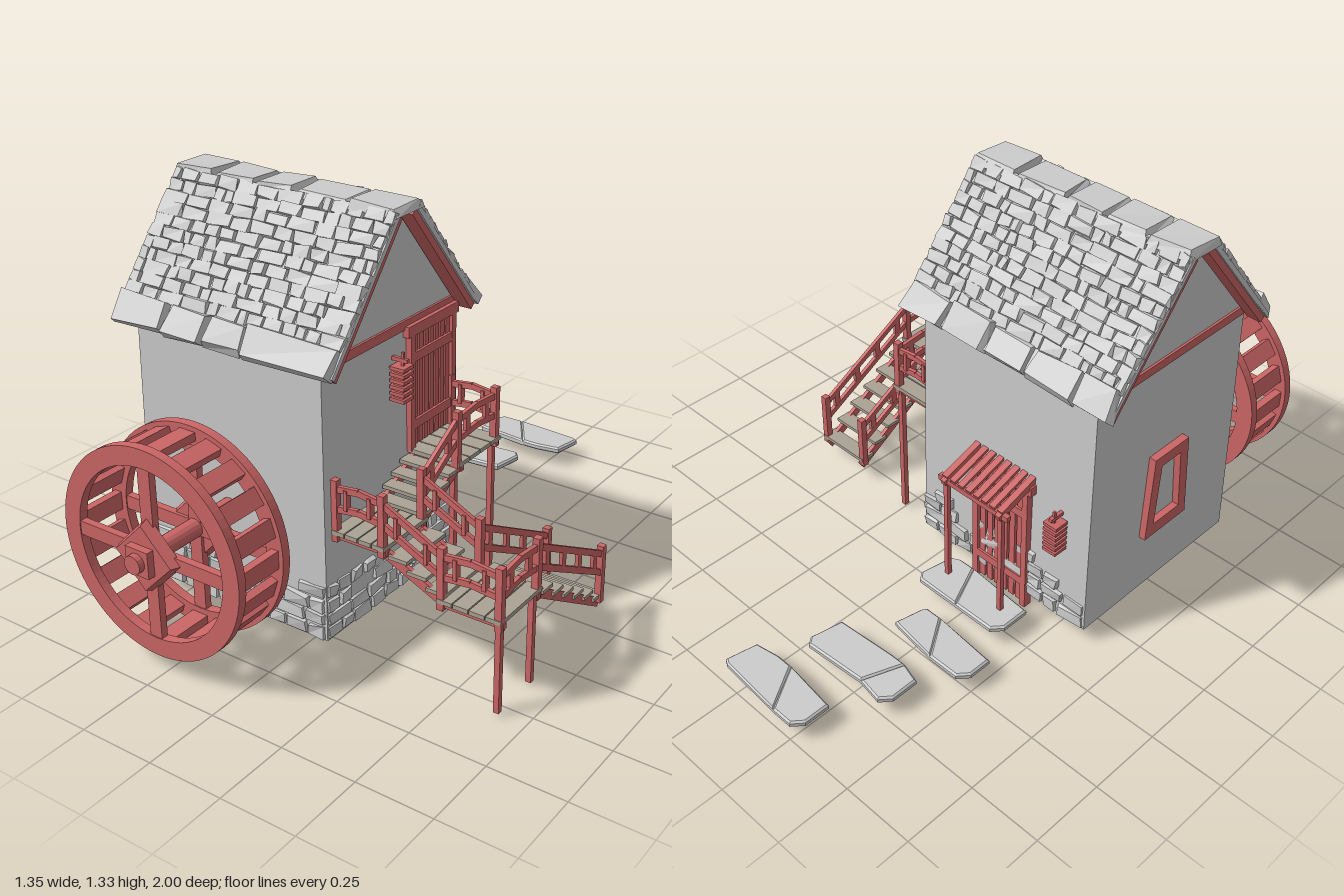
import * as THREE from 'three';

const mat = (color) => new THREE.MeshStandardMaterial({ color, flatShading: true });
const GREY = mat(0xcccccc), RED = mat(0xcc6666), TAN = mat(0xaaa294);

let seed = 7;
const rnd = () => (seed = (seed * 16807) % 2147483647) / 2147483647;
const V = (x, y, z) => new THREE.Vector3(x, y, z);

function add(parent, name, geo, m, x = 0, y = 0, z = 0) {
  const mesh = new THREE.Mesh(geo, m);
  mesh.name = name;
  mesh.position.set(x, y, z);
  parent.add(mesh);
  return mesh;
}
const box = (p, name, m, w, h, d, x, y, z) => add(p, name, new THREE.BoxGeometry(w, h, d), m, x, y, z);

function group(parent, name, x = 0, y = 0, z = 0) {
  const g = new THREE.Group();
  g.name = name;
  g.position.set(x, y, z);
  parent.add(g);
  return g;
}

// straight bar between two points
function beam(p, name, m, a, b, w, h) {
  const mesh = new THREE.Mesh(new THREE.BoxGeometry(w, h, a.distanceTo(b)), m);
  mesh.name = name;
  mesh.position.copy(a).lerp(b, 0.5);
  mesh.lookAt(b);
  p.add(mesh);
}

// rough block: top face shrunk, corners jittered
function stone(w, h, d, jitter, bevel) {
  const g = new THREE.BoxGeometry(w, h, d), pos = g.attributes.position;
  const off = Array.from({ length: 8 }, () => [rnd() - 0.5, rnd() - 0.5, rnd() - 0.5]);
  for (let i = 0; i < pos.count; i++) {
    const x = pos.getX(i), y = pos.getY(i), z = pos.getZ(i);
    const o = off[(x > 0) + 2 * (y > 0) + 4 * (z > 0)], b = y > 0 ? bevel : 0;
    pos.setXYZ(i, x - Math.sign(x) * b + o[0] * jitter, y + (y > 0 ? o[1] * h * 0.5 : 0), z - Math.sign(z) * b + o[2] * jitter);
  }
  return g;
}

// cuts a row from x0 to x1 into random widths
function row(x0, x1, min, max, fn) {
  for (let x = x0; x < x1 - 0.005;) {
    let w = min + rnd() * (max - min);
    if (x1 - x - w < min) w = x1 - x;
    fn(x + w / 2, w);
    x += w;
  }
}

function walls(root) {
  const g = group(root, 'house', -0.257, 0, 0.24);
  const geo = new THREE.BoxGeometry(0.704, 0.87, 0.7), p = geo.attributes.position;
  for (let i = 0; i < p.count; i++) if (p.getY(i) > 0) p.setXYZ(i, p.getX(i) * 0.98, p.getY(i), p.getZ(i) * 0.97);
  add(g, 'walls', geo, GREY, 0, 0.48, 0);
  box(g, 'wallPlate', RED, 0.705, 0.03, 0.695, 0, 0.922, 0);
  // gable prism
  const s = new THREE.Shape([[-0.34, 0.93], [0.34, 0.93], [0.05, 1.295], [-0.05, 1.295]].map((c) => new THREE.Vector2(...c)));
  const gable = new THREE.ExtrudeGeometry(s, { depth: 0.69, bevelEnabled: false });
  gable.translate(0, 0, -0.345).rotateY(Math.PI / 2);
  add(g, 'gable', gable, GREY);
  // foundation stones on front, right and back walls
  [[0, 0.348, 0.35], [Math.PI / 2, 0.35, 0.35], [Math.PI, 0.348, 0.35]].forEach(([turn, dist, half]) => {
    const w = group(g, 'foundationStones');
    w.rotation.y = turn;
    for (let r = 0; r < 4; r++) row(-half, half, 0.05, 0.11, (x, width) => {
      if (r > 1 && rnd() < (r - 1) * 0.22) return;
      add(w, 'foundationStone', stone(width - 0.005, 0.022, 0.043, 0.01, 0.004), GREY, x, 0.07 + r * 0.046, dist).rotation.x = Math.PI / 2;
    });
  });
}

function roof(root) {
  const g = group(root, 'roof', -0.26, 0, 0.24), H = 0.41;
  for (const turn of [0, Math.PI]) {
    const side = group(g, 'roofSide');
    side.rotation.y = turn;
    const slope = group(side, 'roofSlope', 0, 1.3, 0.05);
    slope.rotation.x = 0.882;
    box(slope, 'roofSlab', GREY, 2 * H, 0.016, 0.5, 0, -0.004, 0.25);
    for (const e of [-1, 1]) box(slope, 'bargeBoard', RED, 0.05, 0.024, 0.5, e * 0.378, -0.022, 0.25);
    for (let r = 0; r < 11; r++) row(-H, H, 0.03, 0.1, (x, w) => {
      const tile = add(slope, 'roofTile', stone(w - 0.004, 0.014, 0.04, 0.009, 0.002), GREY, x, 0.006 + rnd() * 0.005, 0.02 + r * 0.038);
      tile.rotation.x = 0.05 + rnd() * 0.08;
    });
    row(-H, H, 0.13, 0.2, (x, w) =>
      add(slope, 'eaveStone', stone(w - 0.002, 0.034, 0.1, 0.018, 0.008), GREY, x, 0.008, 0.462));
  }
  row(-0.415, 0.415, 0.13, 0.2, (x, w) => add(g, 'ridgeStone', stone(w - 0.002, 0.026, 0.14, 0.012, 0.012), GREY, x, 1.304, 0));
}

function waterWheel(root) {
  const g = group(root, 'waterWheel', -0.27, 0.385, 0);
  const ring = new THREE.Shape().absarc(0, 0, 0.335, 0, Math.PI * 2);
  ring.holes.push(new THREE.Path().absarc(0, 0, 0.275, 0, Math.PI * 2, true));
  const rim = new THREE.ExtrudeGeometry(ring, { depth: 0.03, bevelEnabled: false, curveSegments: 40 });
  for (const z of [0.713, 0.902]) {
    add(g, 'rim', rim, RED, 0, 0, z);
    box(g, 'spoke', RED, 0.56, 0.045, 0.024, 0, 0, z + 0.015);
    box(g, 'spoke', RED, 0.045, 0.56, 0.024, 0, 0, z + 0.015);
  }
  for (let i = 0; i < 20; i++) {
    const a = (i / 20) * Math.PI * 2;
    box(g, 'paddle', RED, 0.026, 0.058, 0.17, Math.cos(a) * 0.306, Math.sin(a) * 0.306, 0.822).rotation.z = a;
  }
  // axle and hub
  const lying = (name, r1, r2, len, n, z) => (add(g, name, new THREE.CylinderGeometry(r1, r2, len, n), RED, 0, 0, z).rotation.x = Math.PI / 2);
  lying('axle', 0.03, 0.03, 0.44, 16, 0.775);
  lying('hubPlate', 0.105, 0.122, 0.035, 4, 0.938);
  lying('innerHubPlate', 0.105, 0.122, 0.03, 4, 0.715);
  box(g, 'hubBlock', RED, 0.085, 0.085, 0.03, 0, 0, 0.965);
  lying('axleEnd', 0.03, 0.03, 0.03, 16, 0.985);
}

function staircase(root) {
  const g = group(root, 'staircase');
  const post = (x, y0, y1, z, w = 0.022) => box(g, 'post', RED, w, y1 - y0, w, x, (y0 + y1) / 2, z);
  // two rails with stubs; level rails rise a little in the middle
  const railing = (a, b) => {
    const n = a.distanceTo(b) > 0.3 ? 4 : 2, level = a.y === b.y;
    const at = (t, h) => a.clone().lerp(b, t).add(V(0, h + (level ? 0.04 * t * (1 - t) : 0), 0));
    for (const h of [0.075, 0.14]) for (let i = 0; i < n; i++) beam(g, 'rail', RED, at(i / n, h), at((i + 1) / n, h), 0.013, 0.02);
    for (let i = 1; i <= n; i++) beam(g, 'railStub', RED, at((i - 0.5) / n, 0.075), at((i - 0.5) / n, 0.14), 0.012, 0.022);
    for (const p of [a, b]) post(p.x, p.y - 0.03, p.y + 0.17, p.z);
  };
  const deck = (x0, x1, y, z0, z1, alongX) => {
    const n = 4, w = x1 - x0, d = z1 - z0;
    for (let i = 0; i < n; i++) {
      const t = (i + 0.5) / n;
      if (alongX) box(g, 'deckPlank', TAN, w, 0.014, d / n - 0.004, (x0 + x1) / 2, y, z0 + d * t);
      else box(g, 'deckPlank', TAN, w / n - 0.004, 0.014, d, x0 + w * t, y, (z0 + z1) / 2);
    }
    for (const z of [z0 + 0.02, z1 - 0.02]) box(g, 'deckJoist', RED, w, 0.018, 0.016, (x0 + x1) / 2, y - 0.015, z);
  };
  const flight = (p, q, n, wx, wz) => {
    for (let i = 0; i < n; i++) {
      const c = p.clone().lerp(q, (i + 0.7) / n);
      box(g, 'tread', TAN, wx, 0.012, wz, c.x, c.y, c.z);
    }
    const o = wx > wz ? V(wx / 2 - 0.015, -0.02, 0) : V(0, -0.02, wz / 2 - 0.015);
    for (const s of [-1, 1]) {
      const k = V(o.x * s, o.y, o.z * s);
      beam(g, 'stringer', RED, p.clone().add(k), q.clone().add(k), 0.014, 0.03);
    }
  };
  deck(0.09, 0.28, 0.505, -0.07, 0.17, true);
  deck(0.09, 0.28, 0.4, 0.33, 0.555, false);
  deck(0.455, 0.67, 0.3, 0.33, 0.555, false);
  flight(V(0.185, 0.505, 0.16), V(0.185, 0.41, 0.34), 4, 0.18, 0.05);
  flight(V(0.27, 0.395, 0.442), V(0.465, 0.305, 0.442), 3, 0.065, 0.2);
  flight(V(0.5625, 0.3, 0.33), V(0.5625, 0.062, -0.06), 6, 0.2, 0.055);

  railing(V(0.1, 0.51, -0.055), V(0.265, 0.51, -0.055));
  railing(V(0.265, 0.51, -0.055), V(0.265, 0.51, 0.16));
  railing(V(0.265, 0.51, 0.16), V(0.265, 0.4, 0.345));
  railing(V(0.1, 0.4, 0.542), V(0.265, 0.4, 0.542));
  for (const z of [0.345, 0.542]) railing(V(0.265, 0.4, z), V(0.467, 0.3, z));
  railing(V(0.467, 0.3, 0.542), V(0.657, 0.3, 0.542));
  railing(V(0.657, 0.3, 0.542), V(0.657, 0.3, 0.345));
  for (const x of [0.467, 0.657]) railing(V(x, 0.3, 0.345), V(x, 0.08, -0.055));
  for (const [x, z, top] of [[0.657, 0.542, 0.3], [0.657, 0.365, 0.3], [0.255, 0.16, 0.5], [0.255, -0.055, 0.5]]) post(x, 0, top, z, 0.018);
}

// plank door facing local +z, standing on local y = 0
function door(root, name, x, y, z, turn, w, h, planks) {
  const g = group(root, name, x, y, z);
  g.rotation.y = turn;
  for (let i = 0; i < planks; i++) box(g, 'doorPlank', RED, (w / planks) * 0.72, h, 0.012, w * ((i + 0.5) / planks - 0.5), h / 2, 0);
  for (const t of [0.2, 0.8]) box(g, 'doorRail', RED, w, 0.03, 0.012, 0, h * t, 0.008);
  for (const s of [-1, 1]) box(g, 'doorPost', RED, 0.022, h + 0.02, 0.03, s * (w / 2 + 0.01), h / 2, 0);
  box(g, 'lintel', RED, w + 0.07, 0.035, 0.03, 0, h + 0.015, 0);
  return g;
}

// slatted lantern on a hook, facing local +z
function lantern(root, x, y, z, turn) {
  const g = group(root, 'lantern', x, y, z);
  g.rotation.y = turn;
  box(g, 'lanternCore', RED, 0.034, 0.1, 0.034, 0, 0, 0.03);
  for (let i = 0; i < 6; i++) box(g, 'lanternSlat', RED, 0.052, 0.011, 0.052, 0, -0.048 + i * 0.02, 0.03);
  box(g, 'lanternArm', RED, 0.012, 0.012, 0.055, 0, 0.075, 0.026);
  box(g, 'lanternHook', RED, 0.008, 0.05, 0.008, 0, 0.075, 0.035);
}

function backPorch(root) {
  const d = door(root, 'backDoor', -0.26, 0, -0.114, Math.PI, 0.19, 0.47, 6);
  for (const s of [-1, 1]) {
    box(d, 'porchPost', RED, 0.016, 0.4, 0.016, s * 0.115, 0.265, 0.128);
    beam(root, 'porchRafter', RED, V(-0.26 + s * 0.115, 0.515, -0.09), V(-0.26 + s * 0.115, 0.46, -0.26), 0.018, 0.02);
  }
  box(d, 'porchBeam', RED, 0.29, 0.018, 0.018, 0, 0.462, 0.128);
  for (let i = 0; i < 8; i++) {
    const x = -0.375 + i * 0.033;
    beam(root, 'porchSlat', RED, V(x, 0.53, -0.09), V(x, 0.477, -0.25), 0.022, 0.01);
  }
}

// tapered window frame on the left wall
function sideWindow(root) {
  const quad = (b, t, lo, hi, C) => new C([[-b, lo], [b, lo], [t, hi], [-t, hi]].map((c) => new THREE.Vector2(...c)));
  const s = quad(0.1, 0.08, 0.27, 0.58, THREE.Shape);
  s.holes.push(quad(0.062, 0.045, 0.315, 0.54, THREE.Path));
  const frame = add(root, 'windowFrame', new THREE.ExtrudeGeometry(s, { depth: 0.03, bevelEnabled: false }), RED, -0.6, 0, 0.24);
  frame.rotation.y = -Math.PI / 2;
}

// cracked stepping stones leading to the back door
function path(root) {
  const slab = (pts) => {
    const s = new THREE.Shape(pts.map(([x, z]) => new THREE.Vector2(x, -z)));
    const geo = new THREE.ExtrudeGeometry(s, { depth: 0.012, bevelSize: 0.006, bevelThickness: 0.006, bevelOffset: -0.006, bevelSegments: 1 });
    add(root, 'steppingStone', geo.rotateX(-Math.PI / 2), GREY, 0, 0.05, 0);
  };
  for (const [x0, x1, z0, z1, c0, c1, skew] of [
    [-0.44, -0.08, -0.325, -0.17, -0.26, -0.19, 0], [-0.5, -0.18, -0.535, -0.4, -0.36, -0.27, -0.02],
    [-0.4, -0.04, -0.76, -0.61, -0.28, -0.33, 0.015], [-0.285, 0.075, -1, -0.855, -0.18, -0.09, -0.015]]) {
    slab([[x0, z0 + 0.035], [x0 + 0.03, z0], [c0, z0 + Math.max(skew, 0)], [c1, z1], [x0, z1 - 0.02]]);
    slab([[c0, z0 + Math.max(skew, 0)], [x1 - 0.02, z0 - Math.min(skew, 0)], [x1, z0 + 0.025], [x1 - 0.02, z1 - 0.015], [c1 + 0.06, z1], [c1, z1]]);
  }
}

export function createModel() {
  const root = new THREE.Group();
  root.name = 'waterMill';
  walls(root);
  roof(root);
  waterWheel(root);
  staircase(root);
  door(root, 'upperDoor', 0.094, 0.515, 0.05, Math.PI / 2, 0.2, 0.37, 7);
  lantern(root, 0.093, 0.765, 0.243, Math.PI / 2);
  lantern(root, -0.495, 0.385, -0.105, Math.PI);
  backPorch(root);
  sideWindow(root);
  path(root);
  return root;
}
